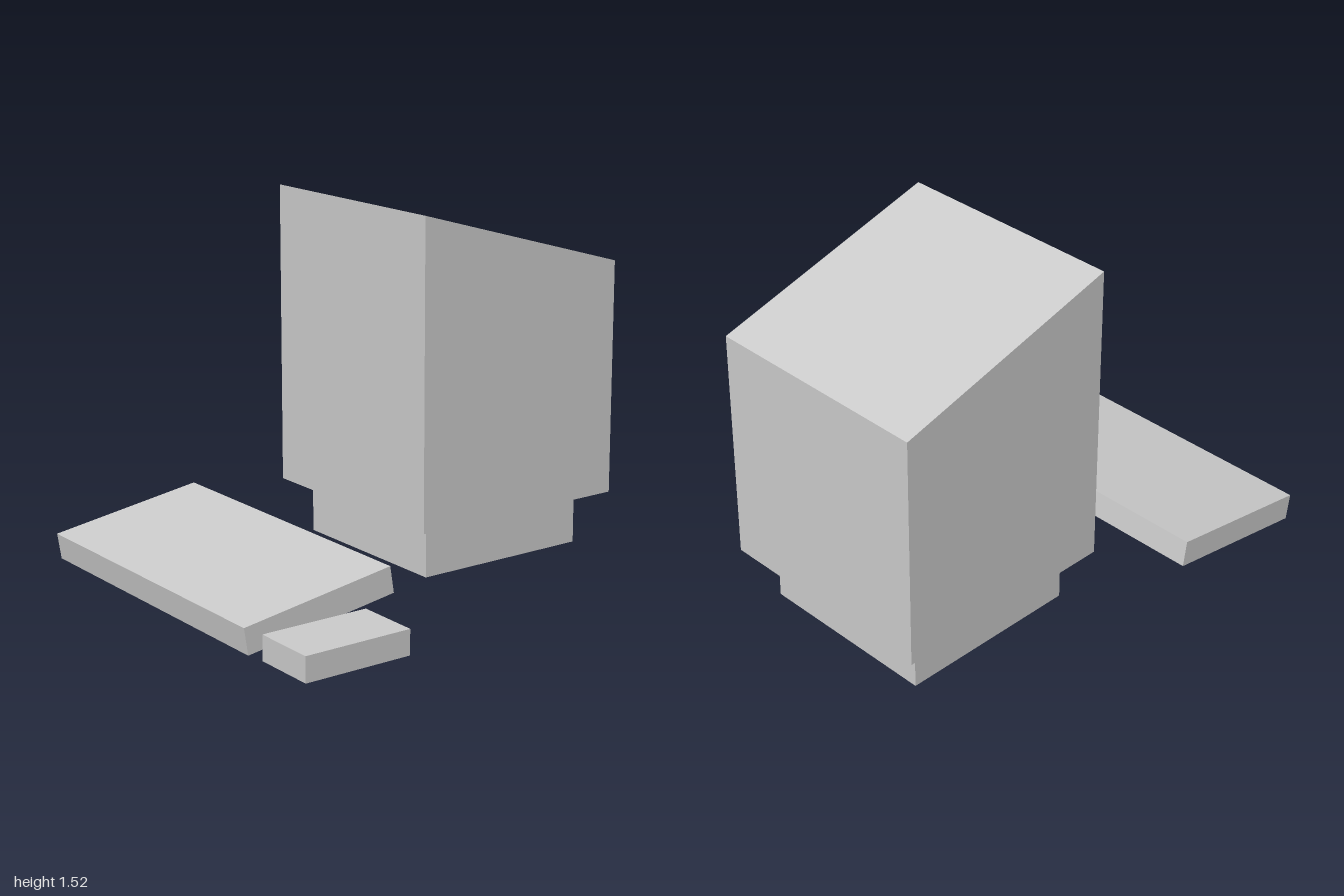
import * as THREE from 'three';

const material = new THREE.MeshStandardMaterial({ color: 0xcccccc, flatShading: true });

// Box given by its size and centre
function box(name, size, centre) {
  const mesh = new THREE.Mesh(new THREE.BoxGeometry(...size), material);
  mesh.name = name;
  mesh.position.set(...centre);
  return mesh;
}

export function createModel() {
  const model = new THREE.Group();
  model.name = 'desktopComputer';

  // Monitor case: box whose top slopes down towards the back
  const monitor = box('monitorCase', [1, 1.29, 1], [-0.185, 0.875, -0.5]);
  const p = monitor.geometry.attributes.position;
  for (let i = 0; i < p.count; i++) {
    if (p.getY(i) > 0 && p.getZ(i) < 0) p.setY(i, p.getY(i) - 0.287);
  }
  monitor.geometry.computeVertexNormals();
  model.add(monitor);

  // Narrower foot under the monitor
  model.add(box('monitorBase', [0.8, 0.228, 0.8], [-0.185, 0.116, -0.49]));

  // Keyboard slab, tilted up at the back
  const keyboard = box('keyboard', [1.42, 0.113, 0.683], [-0.185, 0.11, 0.655]);
  keyboard.rotation.x = 0.154;
  model.add(keyboard);

  // Mouse
  model.add(box('mouse', [0.276, 0.104, 0.47], [0.753, 0.059, 0.745]));

  return model;
}
